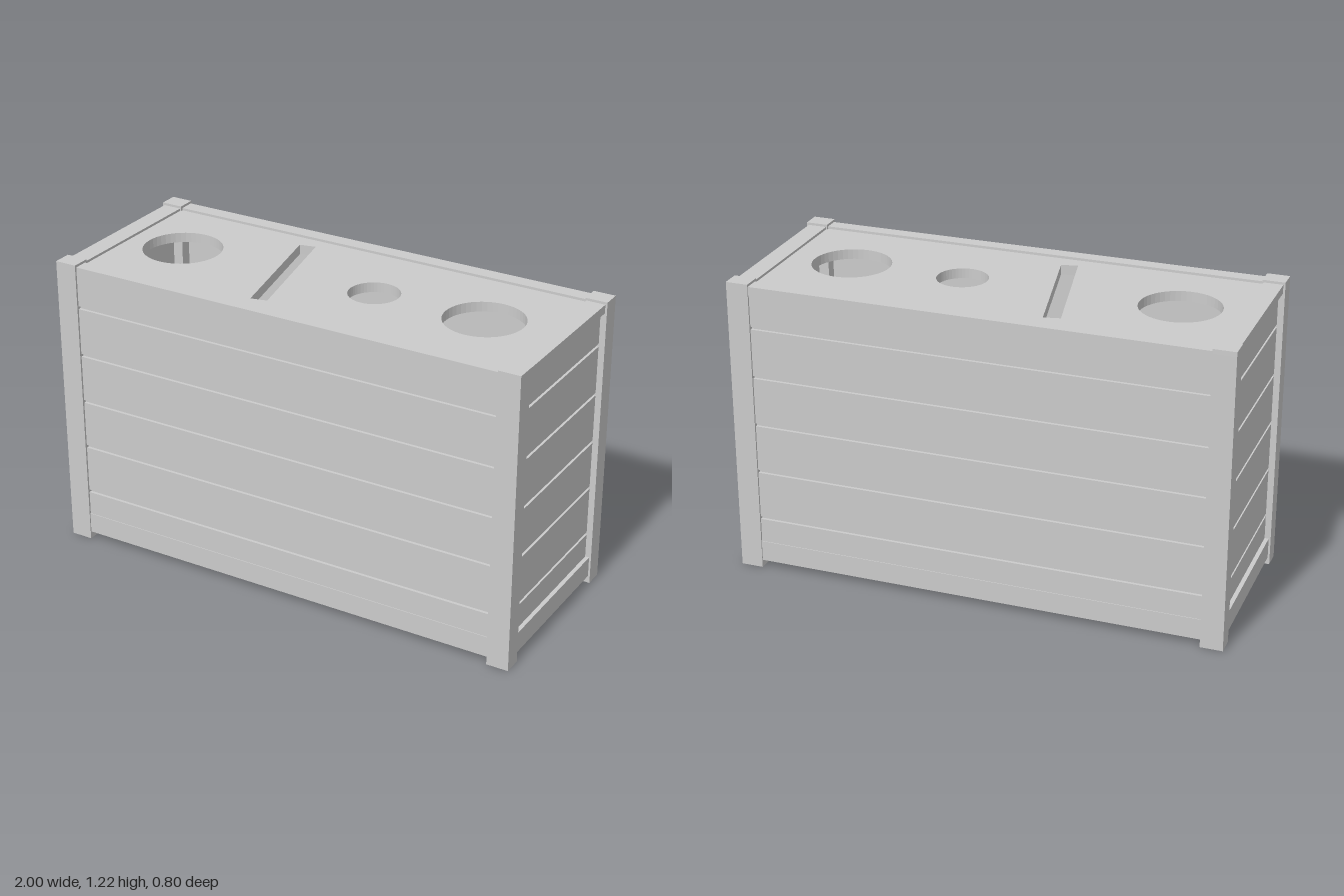
import * as THREE from 'three';

const material = new THREE.MeshStandardMaterial({ color: 0xcccccc, flatShading: true });

export function createModel() {
  const model = new THREE.Group();
  model.name = 'slattedBin';

  const add = (name, geometry) => {
    const mesh = new THREE.Mesh(geometry, material);
    mesh.name = name;
    model.add(mesh);
    return mesh;
  };
  // Box given by its lower and upper bounds on each axis
  const box = (name, x0, x1, y0, y1, z0, z1) => {
    const mesh = add(name, new THREE.BoxGeometry(x1 - x0, y1 - y0, z1 - z0));
    mesh.position.set((x0 + x1) / 2, (y0 + y1) / 2, (z0 + z1) / 2);
    return mesh;
  };
  // Same, with the bounds on one axis mirrored when side is -1
  const span = (side, inner, outer) => (side > 0 ? [inner, outer] : [-outer, -inner]);
  const rectangle = (Type, w, h) => new Type().setFromPoints([
    [-w / 2, -h / 2], [w / 2, -h / 2], [w / 2, h / 2], [-w / 2, h / 2],
  ].map(([x, y]) => new THREE.Vector2(x, y)));

  // Corner posts: square tubes closed by a cap
  const postW = 0.09, postD = 0.075, postTop = 1.215;
  const tube = rectangle(THREE.Shape, postW, postD);
  tube.holes.push(rectangle(THREE.Path, postW - 0.035, postD - 0.035));
  const tubeGeometry = new THREE.ExtrudeGeometry(tube, { depth: postTop - 0.02, bevelEnabled: false });
  tubeGeometry.rotateX(-Math.PI / 2);
  for (const sx of [-1, 1]) {
    for (const sz of [-1, 1]) {
      add('cornerPost', tubeGeometry).position.set(sx * (1 - postW / 2), 0, sz * (0.4 - postD / 2));
      box('postCap', ...span(sx, 0.91, 1), postTop - 0.02, postTop, ...span(sz, 0.325, 0.4));
    }
  }

  // Slats on all four walls, with narrow grooves over a thin backing
  const grooves = [0.22, 0.425, 0.627, 0.83, 1.035];
  const bottoms = [0.115, ...grooves.map((y) => y + 0.006)];
  for (const s of [-1, 1]) {
    const tops = [...grooves.map((y) => y - 0.006), 1.17];
    bottoms.forEach((y, i) => {
      box('longSlat', -0.91, 0.91, y, tops[i], ...span(s, 0.378, 0.392));
      box('endSlat', ...span(s, 0.958, 0.975), y, tops[i], -0.325, 0.325);
    });
    box('longBacking', -0.955, 0.955, 0.04, 1.17, ...span(s, 0.373, 0.38));
    box('endBacking', ...span(s, 0.953, 0.96), 0.04, 1.17, -0.373, 0.373);

    // Bottom and top rails
    box('longBottomRail', -0.91, 0.91, 0.03, 0.115, ...span(s, 0.375, 0.395));
    box('endBottomRail', ...span(s, 0.955, 0.992), 0.03, 0.115, -0.325, 0.325);
    box('longTopRail', -0.91, 0.91, 1.17, 1.205, ...span(s, 0.335, s > 0 ? 0.392 : 0.396));
    box('endTopRail', ...span(s, 0.915, 0.992), 1.17, 1.205, -0.325, 0.325);
  }

  // Floor panel
  box('floor', -0.99, 0.99, 0.03, 0.045, -0.39, 0.39);

  // Lid with three round openings and a slanted paper slot
  const lid = rectangle(THREE.Shape, 1.86, 0.69);
  for (const [x, r] of [[-0.68, 0.16], [0.19, 0.102], [0.655, 0.158]]) {
    lid.holes.push(new THREE.Path().absarc(x, 0, r, 0, Math.PI * 2, true));
  }
  const turn = -0.208;
  const slot = rectangle(THREE.Path, 0.067, 0.555).getPoints().map((p) =>
    p.rotateAround(new THREE.Vector2(), -Math.abs(turn)).add(new THREE.Vector2(-0.21, 0)));
  // After the panel is laid flat, the slot leans towards +x at the front
  lid.holes.push(new THREE.Path().setFromPoints(slot));
  const lidGeometry = new THREE.ExtrudeGeometry(lid, { depth: 0.04, bevelEnabled: false, curveSegments: 24 });
  lidGeometry.rotateX(Math.PI / 2);
  add('lid', lidGeometry).position.y = 1.195;

  return model;
}
